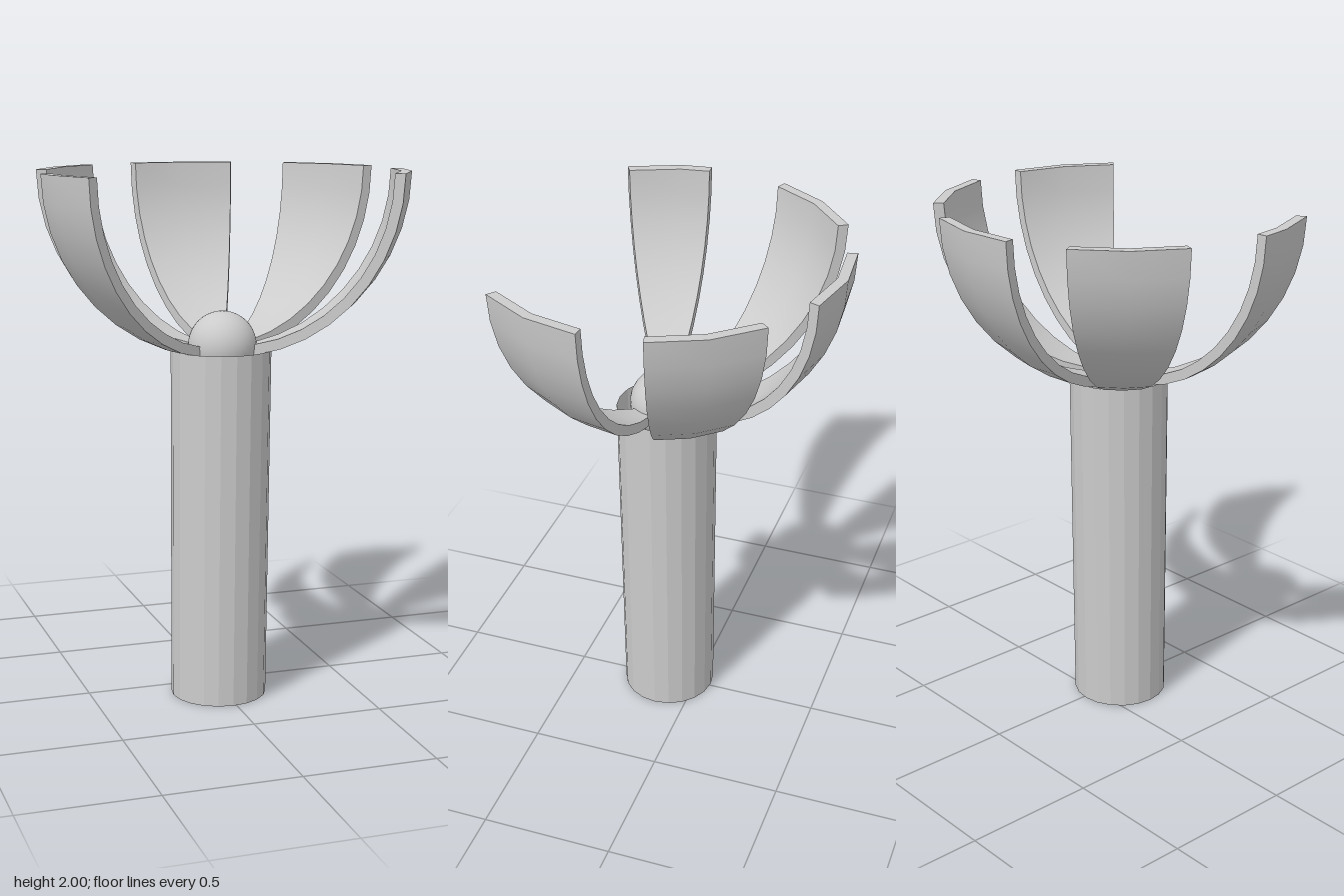
import * as THREE from 'three';
import { mergeGeometries, toCreasedNormals } from 'three/addons/utils/BufferGeometryUtils.js';

const rad = THREE.MathUtils.degToRad;
const CZ = 0.123;                 // the flower's axis sits forward of the centre
const OUTER = 0.688, INNER = 0.649, RIM_Y = 2;

// Cross-section of the hemispherical shell: up the outside, over the rim, down the inside
function shellProfile(steps = 10) {
  const pts = [];
  const add = (r, i) => {
    const t = rad(2 + 88 * i / steps);
    pts.push(new THREE.Vector2(r * Math.sin(t), RIM_Y - r * Math.cos(t)));
  };
  for (let i = 0; i <= steps; i++) add(OUTER, i);
  for (let i = steps; i >= 0; i--) add(INNER, i);
  return pts;
}

// One petal: flat-sided wedges between the given angles (from the back, towards +x), capped at both sides
function petalGeometry(angles) {
  const profile = shellProfile();
  const phis = angles.map(a => Math.PI - rad(a)).sort((a, b) => a - b);
  const parts = [];
  for (let i = 0; i < phis.length - 1; i++) {
    parts.push(new THREE.LatheGeometry(profile, 1, phis[i], phis[i + 1] - phis[i]));
  }
  for (const phi of [phis[0], phis[phis.length - 1]]) {
    const cap = new THREE.ShapeGeometry(new THREE.Shape(profile));
    cap.rotateY(phi - Math.PI / 2);
    parts.push(cap);
  }
  return toCreasedNormals(mergeGeometries(parts.map(g => g.toNonIndexed())), 0.6);
}

export function createModel() {
  const group = new THREE.Group();
  const mat = new THREE.MeshStandardMaterial({ color: 0xcccccc, side: THREE.DoubleSide });
  const flat = new THREE.MeshStandardMaterial({ color: 0xcccccc, side: THREE.DoubleSide, flatShading: true });

  // Open tube stem, slightly tapered and leaning
  const H = 1.34;
  const stemGeo = new THREE.CylinderGeometry(0.188, 0.182, H, 20, 1, true);
  stemGeo.translate(0, H / 2, 0);
  const p = stemGeo.attributes.position;
  for (let i = 0; i < p.count; i++) {
    const t = p.getY(i) / H;
    p.setX(i, p.getX(i) - 0.013 + 0.011 * t);
    p.setZ(i, p.getZ(i) + 0.119 - 0.005 * t);
  }
  const stem = new THREE.Mesh(stemGeo, flat);
  stem.name = 'stem';
  group.add(stem);

  // Ball in the middle of the flower
  const ball = new THREE.Mesh(new THREE.SphereGeometry(0.128, 32, 20), mat);
  ball.position.set(0, 1.355, CZ);
  ball.name = 'centreBall';
  group.add(ball);

  // Five petals; the first is narrower and the front stays open
  const petals = new THREE.Group();
  petals.name = 'petals';
  petals.position.z = CZ;
  const spans = [[-121, -103.6, -93.7]];
  for (let k = -1; k <= 2; k++) {
    const mid = 3.6 + 54 * k;
    spans.push([mid - 17.4, mid, mid + 17.7]);
  }
  spans.forEach((s, i) => {
    const petal = new THREE.Mesh(petalGeometry(s), mat);
    petal.name = 'petal' + (i + 1);
    petals.add(petal);
  });
  group.add(petals);
  return group;
}
